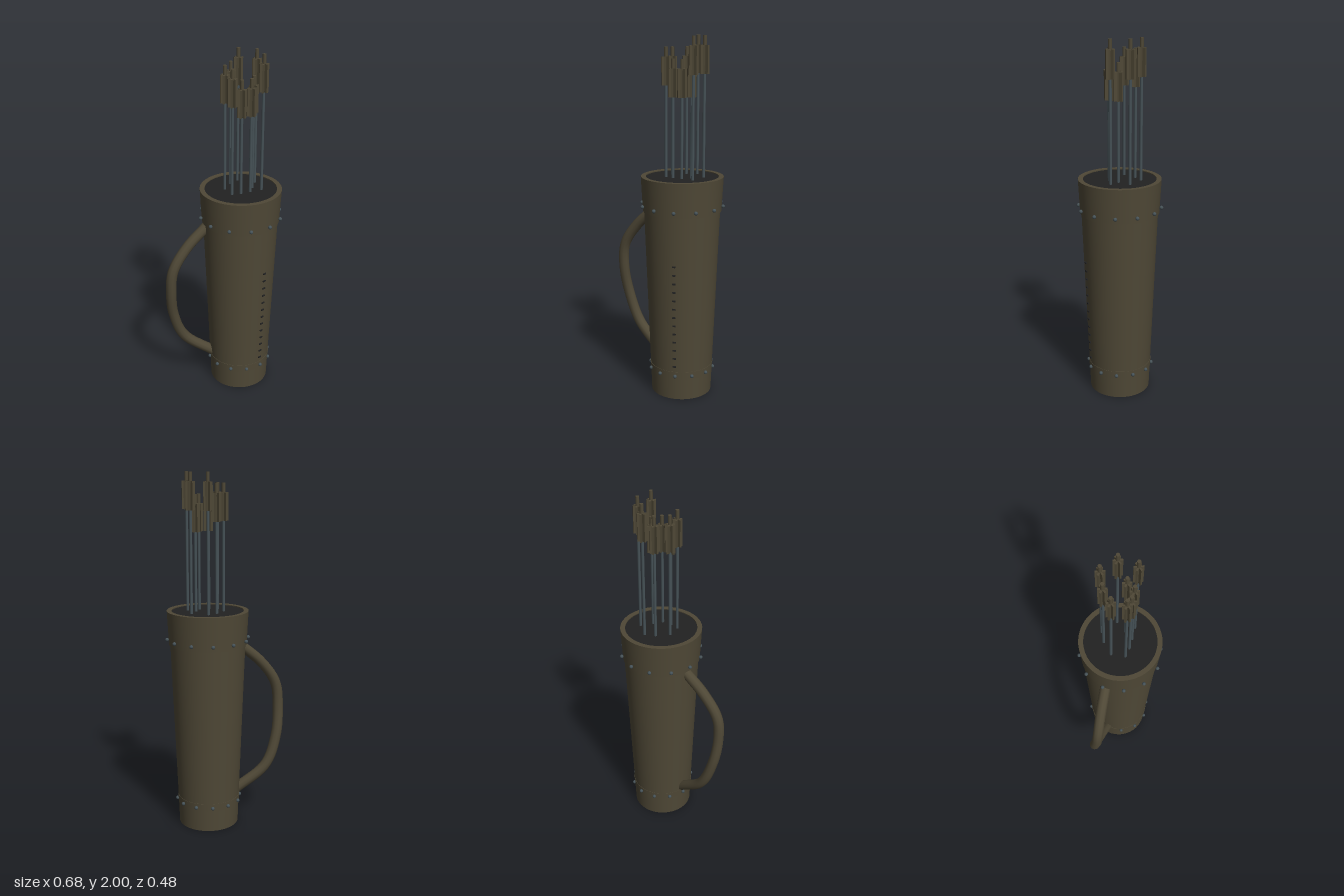
import * as THREE from 'three';

const mat = (name, color, side = THREE.FrontSide) => {
  const m = new THREE.MeshStandardMaterial({ color, side });
  m.name = name;
  return m;
};

export function createModel() {
  const leather = mat('leather', 0x4f4836);
  const metal = mat('blued steel', 0x465257);
  const dark = mat('dark lining', 0x222222);

  const model = new THREE.Group();
  model.name = 'quiver';
  const add = (parent, name, geometry, material, x = 0, y = 0, z = 0) => {
    const mesh = new THREE.Mesh(geometry, material);
    mesh.name = name;
    mesh.position.set(x, y, z);
    parent.add(mesh);
    return mesh;
  };

  // Everything but the strap is built around the axis of the case
  const quiver = new THREE.Group();
  quiver.name = 'case';
  quiver.position.x = 0.1;
  model.add(quiver);

  // Tapered body, closed at the bottom
  const radiusAt = (y) => 0.17 + 0.04 * y / 1.06;
  add(quiver, 'body', new THREE.CylinderGeometry(0.216, 0.17, 1.22, 48), leather, 0, 0.61);

  // Collar with a thick rim
  const collar = [[0.205, 1.06], [0.217, 1.06], [0.227, 1.25], [0.2, 1.25], [0.2, 1.2]];
  collar.slice(1).forEach((p, i) => {
    const edge = [collar[i], p].map(([r, y]) => new THREE.Vector2(r, y));
    add(quiver, 'collar', new THREE.LatheGeometry(edge, 48), leather);
  });

  // Slim lower band
  add(quiver, 'lowerBand', new THREE.CylinderGeometry(0.1785, 0.1765, 0.045, 48), leather, 0, 0.145);

  // Dark mouth
  const mouth = add(quiver, 'mouth', new THREE.CircleGeometry(0.201, 48), dark, 0, 1.245);
  mouth.rotation.x = -Math.PI / 2;

  // Two rings of twelve rivets
  const rivet = new THREE.SphereGeometry(0.0105, 12, 8);
  for (const [r, y] of [[0.228, 1.09], [0.182, 0.143]]) {
    for (let i = 0; i < 12; i++) {
      const a = i * Math.PI / 6;
      add(quiver, 'rivet', rivet, metal, r * Math.sin(a), y, r * Math.cos(a));
    }
  }

  // Row of stitches down the front
  const stitch = new THREE.BoxGeometry(0.018, 0.008, 0.01);
  const seam = 0.5;
  for (let i = 0; i < 13; i++) {
    const y = 0.2 + i * 0.049;
    const r = radiusAt(y) + 0.001;
    const s = add(quiver, 'stitch', stitch, dark, r * Math.sin(seam), y, r * Math.cos(seam));
    s.rotation.y = seam;
  }

  // Carrying strap
  const strapPath = new THREE.CatmullRomCurve3([
    [-0.08, 1.05, 0], [-0.215, 0.93, 0.03], [-0.3, 0.8, 0.05], [-0.315, 0.65, 0.045],
    [-0.3, 0.49, 0.02], [-0.235, 0.32, 0], [-0.06, 0.18, 0],
  ].map((p) => new THREE.Vector3(...p)));
  add(model, 'strap', new THREE.TubeGeometry(strapPath, 40, 0.03, 10), leather);

  // Arrows: x, z and the height of the nock's top
  const arrows = [
    [0.11, -0.115, 2], [0.06, -0.08, 1.94], [0.013, -0.015, 1.94],
    [0.197, -0.065, 2], [0.165, 0, 1.88], [0.207, 0.037, 2],
    [0.14, 0.05, 1.88], [0.085, 0.06, 1.88], [0.035, 0.06, 1.94],
  ];
  const nock = new THREE.CylinderGeometry(0.01, 0.01, 0.06, 10);
  const vane = new THREE.BoxGeometry(0.05, 0.15, 0.009);
  for (const [x, z, top] of arrows) {
    const arrow = new THREE.Group();
    arrow.name = 'arrow';
    arrow.position.set(x, 0, z);
    model.add(arrow);
    const length = top - 0.05 - 1.2;
    add(arrow, 'shaft', new THREE.CylinderGeometry(0.008, 0.008, length, 10), metal, 0, 1.2 + length / 2);
    add(arrow, 'nock', nock, leather, 0, top - 0.03);
    for (let i = 0; i < 3; i++) {
      add(arrow, 'vane', vane, leather, 0, top - 0.125).rotation.y = i * Math.PI / 3;
    }
  }
  return model;
}
